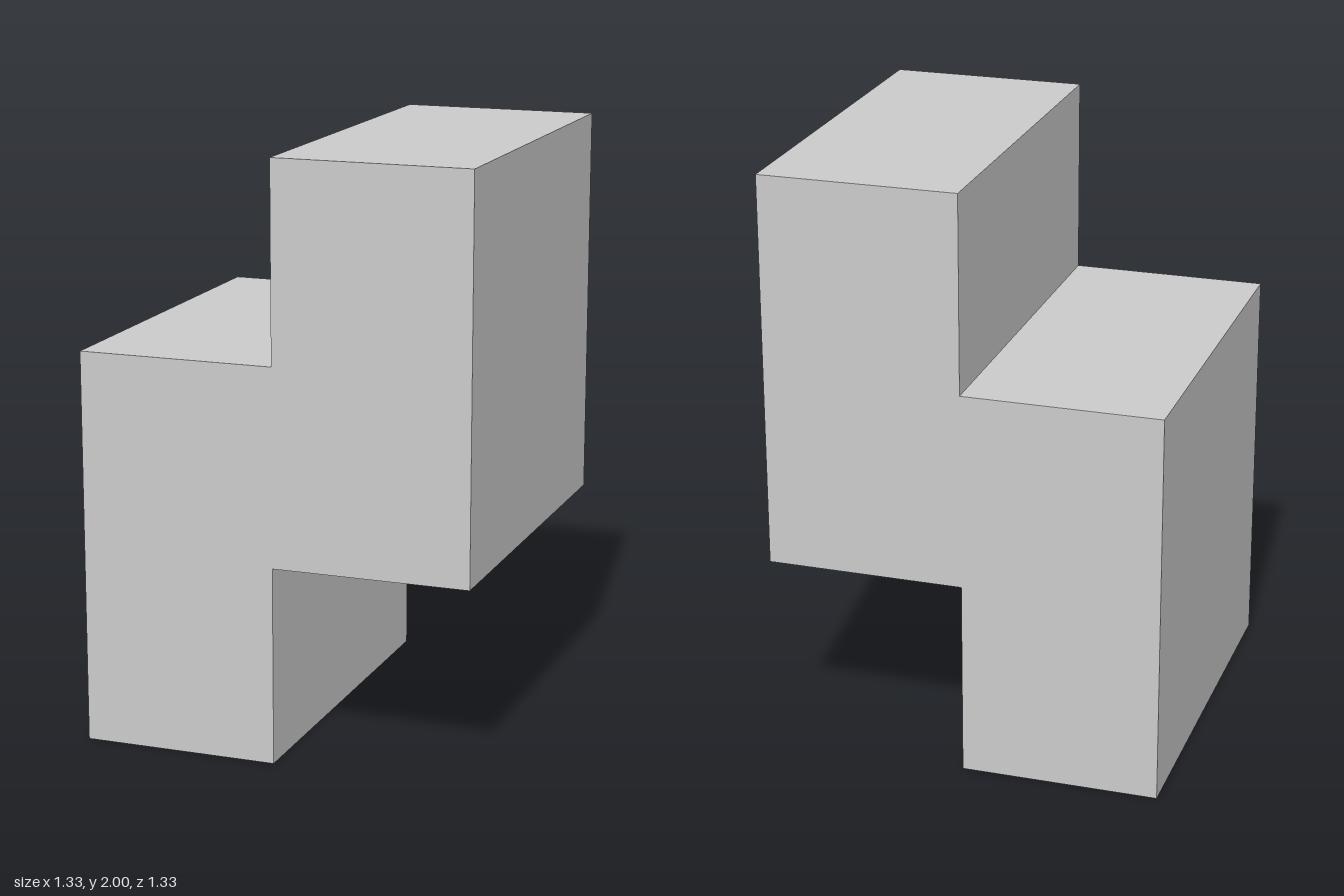
import * as THREE from 'three';

export function createModel() {
  const group = new THREE.Group();
  const u = 2 / 3; // unit cell

  // S-shaped outline, counter-clockwise, in unit cells
  const outline = [[-1, 0], [0, 0], [0, 1], [1, 1], [1, 3], [0, 3], [0, 2], [-1, 2]];
  const shape = new THREE.Shape(outline.map(([x, y]) => new THREE.Vector2(x * u, y * u)));

  // Extruded two cells deep and centred on z
  const geometry = new THREE.ExtrudeGeometry(shape, { depth: 2 * u, bevelEnabled: false });
  geometry.translate(0, 0, -u);

  const block = new THREE.Mesh(
    geometry,
    new THREE.MeshStandardMaterial({ color: 0xcccccc, flatShading: true })
  );
  block.name = 'steppedBlock';
  group.add(block);
  return group;
}
